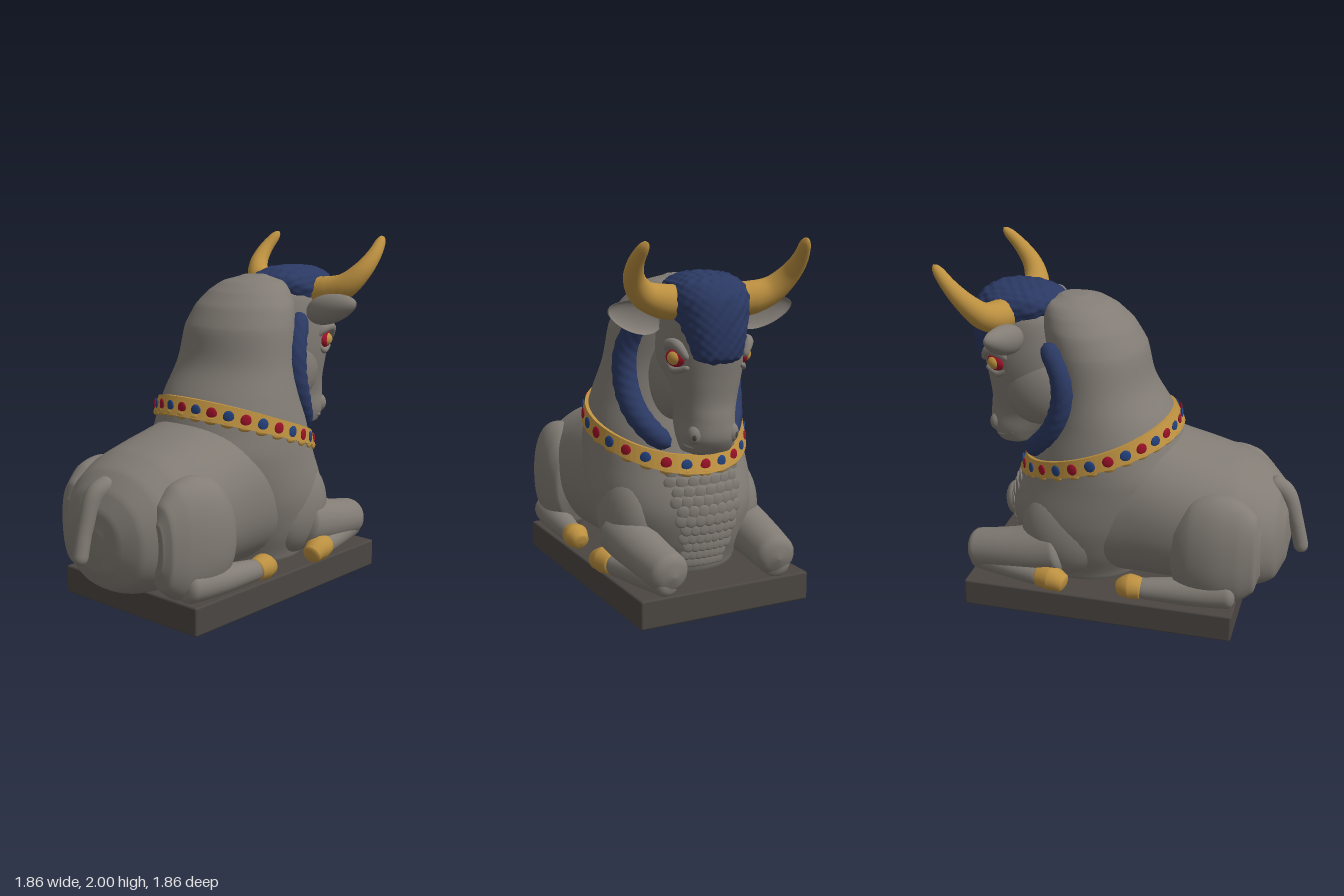
import * as THREE from 'three';
import { mergeVertices } from 'three/addons/utils/BufferGeometryUtils.js';
import { RoundedBoxGeometry } from 'three/addons/geometries/RoundedBoxGeometry.js';

const paint = (name, color) => {
  const m = new THREE.MeshStandardMaterial({ color });
  m.name = name;
  return m;
};
const stone = paint('grey stone', 0x827c75);
const plinthStone = paint('dark plinth stone', 0x4b4642);
const gold = paint('gold', 0xbc9040);
const wool = paint('blue wool', 0x2b3963);
const blueGem = paint('blue gem', 0x24427f);
const red = paint('red', 0x9c1228);

// Smoothly resamples cross-sections [position, low, high, halfWidth]
function resample(rows, steps = 6) {
  const out = [];
  const at = (i, k) => rows[Math.min(rows.length - 1, Math.max(0, i))][k];
  for (let i = 0; i < rows.length - 1; i++) {
    for (let s = 0; s < steps + (i === rows.length - 2 ? 1 : 0); s++) {
      const t = s / steps;
      out.push([0, 1, 2, 3].map((k) => {
        if (k === 0) return THREE.MathUtils.lerp(at(i, 0), at(i + 1, 0), t);
        const a = at(i - 1, k), b = at(i, k), c = at(i + 1, k), d = at(i + 2, k);
        return b + 0.5 * t * (c - a + t * (2 * a - 5 * b + 4 * c - d + t * (3 * (b - c) + d - a)));
      }));
    }
  }
  return out;
}

// Point on a rounded cross-section, as (sideways, along low-high); n = 2 is an ellipse
function rim([, lo, hi, w], angle, n) {
  const p = (v) => Math.sign(v) * Math.abs(v) ** (2 / n);
  return [w * p(Math.cos(angle)), (lo + hi) / 2 + ((hi - lo) / 2) * p(Math.sin(angle))];
}

// Closed skin over sections stacked along y or z
function loft(dense, axis, n = 2.2, segs = 64) {
  const pos = [], idx = [], up = axis === 'y';
  const put = (x, a, t) => (up ? pos.push(x, t, a) : pos.push(x, a, t));
  const tri = (a, b, c) => (up ? idx.push(a, b, c) : idx.push(a, c, b));
  for (const row of dense) {
    for (let j = 0; j < segs; j++) put(...rim(row, (j / segs) * Math.PI * 2, n), row[0]);
  }
  const last = (dense.length - 1) * segs, c0 = dense.length * segs;
  for (const row of [dense[0], dense[dense.length - 1]]) put(0, (row[1] + row[2]) / 2, row[0]);
  for (let j = 0; j < segs; j++) {
    const k = (j + 1) % segs;
    for (let o = 0; o < last; o += segs) {
      tri(o + j, o + segs + j, o + k);
      tri(o + k, o + segs + j, o + segs + k);
    }
    tri(c0, j, k);
    tri(c0 + 1, last + k, last + j);
  }
  const g = new THREE.BufferGeometry();
  g.setAttribute('position', new THREE.Float32BufferAttribute(pos, 3));
  g.setIndex(idx);
  g.computeVertexNormals();
  return g;
}

// Round-ended tube with varying radius; ripple adds curls along it
function limb(points, radii, ripple = 0) {
  const segs = 48, sides = 20;
  const curve = new THREE.CatmullRomCurve3(points.map((p) => new THREE.Vector3(...p)));
  let g = new THREE.TubeGeometry(curve, segs, 1, sides);
  const p = g.attributes.position, v = new THREE.Vector3();
  for (let i = 0; i <= segs; i++) {
    const t = i / segs, c = curve.getPointAt(t), u = t * (radii.length - 1);
    const k = Math.min(radii.length - 2, Math.floor(u));
    const e = Math.min(1, t / 0.1, (1 - t) / 0.1);
    const r = THREE.MathUtils.lerp(radii[k], radii[k + 1], u - k) * Math.sqrt(Math.max(0.0004, 1 - (1 - e) ** 2));
    for (let j = 0; j <= sides; j++) {
      const n = i * (sides + 1) + j;
      const bump = 1 + ripple * Math.sin(i * 1.6) * Math.cos((j / sides) * Math.PI * 10);
      v.fromBufferAttribute(p, n).sub(c).multiplyScalar(r * bump).add(c);
      p.setXYZ(n, v.x, v.y, v.z);
    }
  }
  g.deleteAttribute('uv');
  g.deleteAttribute('normal');
  g = mergeVertices(g, 1e-5);
  g.computeVertexNormals();
  return g;
}

function blob([x, y, z], [rx, ry, rz], yaw = 0) {
  return new THREE.SphereGeometry(1, 28, 18).scale(rx, ry, rz).rotateY(yaw).translate(x, y, z);
}

function add(parent, name, geo, mat) {
  const m = new THREE.Mesh(geo, mat);
  m.name = name;
  parent.add(m);
  return m;
}

// Adds a part on the left (+x) and its mirror on the right
function pair(parent, name, geo, mat) {
  add(parent, name + 'Left', geo, mat);
  const other = geo.clone().scale(-1, 1, 1), ix = other.index;
  for (let i = 0; i < ix.count; i += 3) {
    const a = ix.getX(i);
    ix.setX(i, ix.getX(i + 2));
    ix.setX(i + 2, a);
  }
  add(parent, name + 'Right', other, mat);
}

export function createModel() {
  const model = new THREE.Group();
  const bull = new THREE.Group();
  bull.name = 'recliningBull';
  bull.rotation.y = 2.366;
  model.add(bull);

  add(bull, 'plinth', new RoundedBoxGeometry(1.025, 0.16, 1.57, 2, 0.012).translate(0.012, 0.08, -0.012), plinthStone);

  // Trunk, neck and chest
  add(bull, 'barrel', loft(resample([
    [-1.045, 0.4, 0.53, 0.06], [-1.03, 0.3, 0.64, 0.18], [-0.98, 0.2, 0.74, 0.3], [-0.89, 0.16, 0.83, 0.38],
    [-0.75, 0.15, 0.9, 0.435], [-0.5, 0.15, 0.97, 0.45], [-0.2, 0.15, 1.03, 0.44], [0.1, 0.15, 0.94, 0.41], [0.3, 0.2, 0.8, 0.3],
  ]), 'z'), stone);
  const neck = resample([
    [0.15, -0.2, 0.5, 0.34], [0.35, -0.3, 0.58, 0.42], [0.55, -0.4, 0.61, 0.465], [0.8, -0.46, 0.515, 0.46],
    [0.95, -0.41, 0.455, 0.445], [1.1, -0.35, 0.4, 0.415], [1.3, -0.23, 0.36, 0.37], [1.5, -0.18, 0.38, 0.345],
    [1.62, -0.11, 0.4, 0.305], [1.7, -0.03, 0.4, 0.245], [1.75, 0.05, 0.38, 0.18], [1.785, 0.16, 0.3, 0.07],
  ]);
  add(bull, 'neckAndChest', loft(neck, 'y', 2), stone);
  const onNeck = (y, angle, out = 0) => {
    const i = Math.max(1, neck.findIndex((r) => r[0] >= y)), a = neck[i - 1], b = neck[i];
    const f = (y - a[0]) / (b[0] - a[0]);
    const [x, z] = rim(a.map((v, k) => v + (b[k] - v) * f), angle, 2);
    return new THREE.Vector3(x + out * Math.cos(angle), y, z + out * Math.sin(angle));
  };

  // Scaly dewlap
  const scale = new THREE.SphereGeometry(1, 10, 8).scale(0.036, 0.036, 0.009);
  for (let r = 0; r < 11; r++) {
    for (let c = -3; c <= 3; c++) {
      const a = Math.PI / 2 + (c + (r % 2) * 0.4 - 0.2) * (0.145 - r * 0.006);
      const s = add(bull, 'dewlapScale', scale, stone);
      s.position.copy(onNeck(0.74 - r * 0.05, a));
      s.rotation.y = Math.PI / 2 - a;
    }
  }

  // Collar: a tilted band with alternating gems and a scalloped edge
  const collarPoint = (a, dy, out) => {
    let y = 0.94;
    for (let i = 0; i < 12; i++) y = 0.94 - 0.35 * (onNeck(y, a).z - 0.07);
    return onNeck(y + dy, a, out);
  };
  const band = [], bandIdx = [], N = 96, profile = [[-0.048, -0.02], [-0.048, 0.022], [0.05, 0.02], [0.05, -0.02]];
  for (let i = 0; i < N; i++) {
    for (let k = 0; k < 4; k++) {
      band.push(...collarPoint((i / N) * Math.PI * 2, ...profile[k]).toArray());
      const a = i * 4 + k, b = i * 4 + ((k + 1) % 4), c = ((i + 1) % N) * 4 + k, d = ((i + 1) % N) * 4 + ((k + 1) % 4);
      bandIdx.push(a, b, c, c, b, d);
    }
  }
  const bandGeo = new THREE.BufferGeometry();
  bandGeo.setAttribute('position', new THREE.Float32BufferAttribute(band, 3));
  bandGeo.setIndex(bandIdx);
  const bandFlat = bandGeo.toNonIndexed();
  bandFlat.computeVertexNormals();
  add(bull, 'collarBand', bandFlat, gold);
  const gem = new THREE.SphereGeometry(1, 14, 10).scale(0.031, 0.034, 0.009);
  const scallop = new THREE.SphereGeometry(1, 12, 8).scale(0.04, 0.022, 0.014);
  for (let i = 0; i < 28; i++) {
    const a = (i / 28) * Math.PI * 2;
    const g = add(bull, 'collarGem', gem, i % 2 ? red : blueGem);
    const s = add(bull, 'collarScallop', scallop, gold);
    g.position.copy(collarPoint(a, -0.003, 0.021));
    s.position.copy(collarPoint(a, -0.045, 0.007));
    g.rotation.y = s.rotation.y = Math.PI / 2 - a;
  }

  // Folded legs
  pair(bull, 'thigh', loft(resample([
    [-0.92, 0.34, 0.6, 0.04], [-0.89, 0.24, 0.7, 0.09], [-0.8, 0.17, 0.785, 0.135], [-0.67, 0.155, 0.815, 0.165],
    [-0.54, 0.17, 0.785, 0.16], [-0.45, 0.23, 0.69, 0.125], [-0.41, 0.34, 0.57, 0.05],
  ]), 'z').translate(0.345, 0, 0), stone);
  pair(bull, 'hindShin', limb([[0.39, 0.25, -0.8], [0.42, 0.235, -0.6], [0.45, 0.22, -0.22]], [0.1, 0.08, 0.056]), stone);
  pair(bull, 'hindHoof', limb([[0.45, 0.22, -0.28], [0.45, 0.225, -0.2], [0.445, 0.2, -0.13]], [0.06, 0.073, 0.045]), gold);
  pair(bull, 'shoulder', blob([0.31, 0.46, 0.22], [0.16, 0.28, 0.25]), stone);
  pair(bull, 'forearm', limb([[0.34, 0.37, 0.2], [0.35, 0.32, 0.48], [0.32, 0.27, 0.8]], [0.16, 0.13, 0.11]), stone);
  pair(bull, 'foreShin', limb([[0.32, 0.235, 0.78], [0.4, 0.225, 0.52], [0.46, 0.22, 0.3]], [0.085, 0.072, 0.06]), stone);
  pair(bull, 'foreHoof', limb([[0.455, 0.22, 0.35], [0.475, 0.225, 0.25], [0.49, 0.2, 0.165]], [0.06, 0.074, 0.05]), gold);
  add(bull, 'tail', limb([[0, 0.76, -0.9], [0.02, 0.72, -1.0], [0.03, 0.55, -1.07], [0.03, 0.35, -1.12]], [0.06, 0.05, 0.042, 0.042]), stone);

  // Woolly ruff behind the cheeks
  pair(bull, 'ruff', limb([
    [0.265, 1.57, 0.33], [0.295, 1.5, 0.27], [0.318, 1.38, 0.215], [0.318, 1.22, 0.215], [0.3, 1.07, 0.28], [0.25, 0.96, 0.375], [0.17, 0.88, 0.46],
  ], [0.055, 0.062, 0.07, 0.074, 0.07, 0.064, 0.055], 0.04), wool);

  // Head, turned slightly to its right
  const head = new THREE.Group();
  head.name = 'head';
  head.position.x = 0.03;
  head.rotation.y = -0.1;
  bull.add(head);
  add(head, 'skull', loft(resample([
    [0.86, 0.53, 0.64, 0.08], [0.885, 0.48, 0.71, 0.135], [0.96, 0.43, 0.755, 0.158], [1.06, 0.36, 0.755, 0.16], [1.15, 0.3, 0.745, 0.182],
    [1.28, 0.24, 0.76, 0.212], [1.4, 0.23, 0.78, 0.225], [1.52, 0.24, 0.79, 0.22], [1.65, 0.28, 0.78, 0.2], [1.75, 0.36, 0.71, 0.14],
  ]), 'y', 2.15), stone);
  const cap = loft(resample([
    [1.365, 0.69, 0.775, 0.085], [1.395, 0.62, 0.818, 0.132], [1.5, 0.54, 0.832, 0.165], [1.6, 0.42, 0.832, 0.195], [1.7, 0.31, 0.815, 0.215],
    [1.77, 0.32, 0.77, 0.19], [1.81, 0.4, 0.7, 0.125], [1.825, 0.49, 0.61, 0.04],
  ], 8), 'y', 2.4, 96);
  const cp = cap.attributes.position, cn = cap.attributes.normal;
  for (let i = 0; i < cp.count; i++) {
    const x = cp.getX(i), y = cp.getY(i), z = cp.getZ(i);
    const d = 0.004 * Math.sin(110 * x + 20 * y) * Math.sin(110 * y) + 0.002 * Math.sin(100 * z + 60 * x - 40 * y);
    cp.setXYZ(i, x + d * cn.getX(i), y + d * cn.getY(i), z + d * cn.getZ(i));
  }
  cap.computeVertexNormals();
  add(head, 'woolCap', cap, wool);
  pair(head, 'horn', limb([
    [0.13, 1.67, 0.59], [0.25, 1.68, 0.6], [0.36, 1.72, 0.625], [0.43, 1.8, 0.68], [0.452, 1.89, 0.76], [0.432, 2.0, 0.865],
  ], [0.095, 0.09, 0.072, 0.055, 0.04, 0.026]), gold);

  // Cupped ears
  const ear = new THREE.SphereGeometry(1, 32, 20);
  const ep = ear.attributes.position;
  for (let i = 0; i < ep.count; i++) {
    const x = ep.getX(i), z = ep.getZ(i), w = 0.085 * (1 - 0.2 * x);
    ep.setXYZ(i, 0.17 * x, w * ep.getY(i), z > 0 ? -0.04 * z : 0.075 * z);
  }
  ear.computeVertexNormals();
  ear.rotateZ(0.25).rotateY(-0.2).translate(0.36, 1.595, 0.51);
  pair(head, 'ear', ear, stone);

  // Face details
  pair(head, 'cheek', blob([0.12, 1.24, 0.42], [0.115, 0.22, 0.21]), stone);
  pair(head, 'eyeRim', blob([0.192, 1.39, 0.64], [0.03, 0.048, 0.066], -0.4), red);
  pair(head, 'eyeball', blob([0.199, 1.39, 0.645], [0.033, 0.038, 0.046], -0.4), gold);
  pair(head, 'brow', limb([[0.19, 1.4, 0.54], [0.212, 1.455, 0.6], [0.2, 1.46, 0.68], [0.16, 1.39, 0.73]], [0.02, 0.03, 0.028, 0.016]), stone);
  pair(head, 'lowerLid', limb([[0.2, 1.38, 0.55], [0.196, 1.325, 0.62], [0.15, 1.345, 0.72]], [0.014, 0.02, 0.014]), stone);
  pair(head, 'nostrilFold', blob([0.1, 0.985, 0.69], [0.045, 0.055, 0.045], 0.6), stone);
  pair(head, 'nostril', blob([0.118, 0.98, 0.722], [0.014, 0.02, 0.01], 0.7), plinthStone);
  pair(head, 'lipLine', limb([[0.06, 0.915, 0.71], [0.125, 0.92, 0.66], [0.148, 0.95, 0.56]], [0.012, 0.014, 0.01]), stone);

  return model;
}
